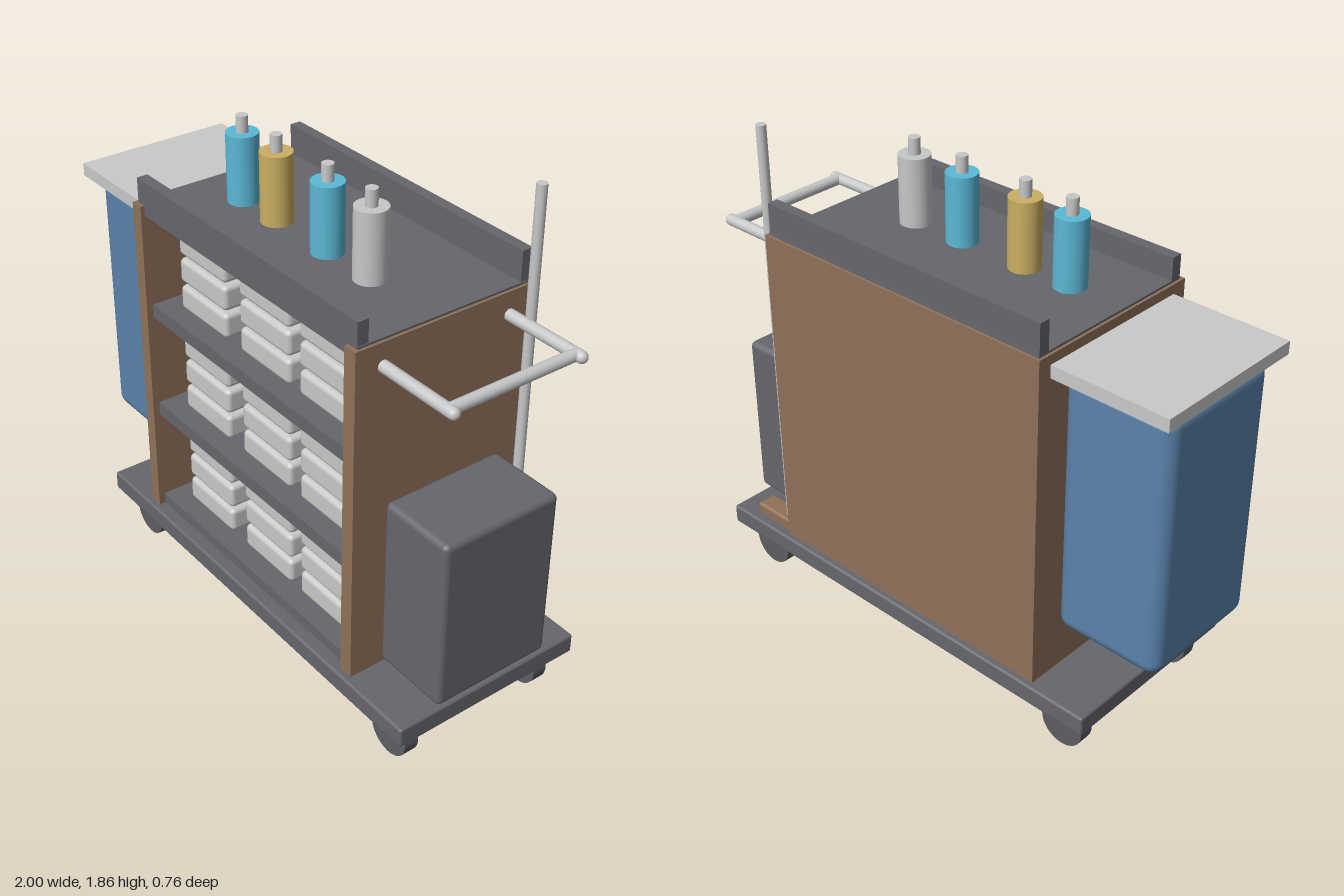
import * as THREE from 'three';
import { RoundedBoxGeometry } from 'three/addons/geometries/RoundedBoxGeometry.js';

const mat = (name, color) => {
  const m = new THREE.MeshStandardMaterial({ color });
  m.name = name;
  return m;
};

export function createModel() {
  const wood = mat('brown wood', 0x8f7159);
  const charcoal = mat('charcoal', 0x66676d);
  const rubber = mat('dark rubber', 0x5c5e62);
  const linen = mat('pale grey', 0xc8cac8);
  const steel = mat('light steel', 0xc6c8c9);
  const blue = mat('bag blue', 0x5a82ab);
  const cyan = mat('bottle cyan', 0x5bb9d6);
  const gold = mat('bottle gold', 0xcbaf62);

  const cart = new THREE.Group();
  cart.name = 'serviceCart';

  const add = (name, geo, material, x = 0, y = 0, z = 0) => {
    const m = new THREE.Mesh(geo, material);
    m.name = name;
    m.position.set(x, y, z);
    cart.add(m);
    return m;
  };
  // Box given by its limits; a radius rounds its edges
  const box = (name, material, [x0, x1], [y0, y1], [z0, z1], r = 0) => {
    const s = [x1 - x0, y1 - y0, z1 - z0];
    const geo = r ? new RoundedBoxGeometry(...s, 3, r) : new THREE.BoxGeometry(...s);
    return add(name, geo, material, (x0 + x1) / 2, (y0 + y1) / 2, (z0 + z1) / 2);
  };

  // Base and wheels
  box('base', charcoal, [-0.795, 0.955], [0.16, 0.235], [-0.38, 0.38], 0.01);
  for (const x of [-0.66, 0.82]) {
    for (const z of [-0.287, 0.287]) {
      add('wheel', new THREE.CylinderGeometry(0.086, 0.086, 0.056, 32), rubber, x, 0.086, z)
        .rotation.x = Math.PI / 2;
    }
  }

  // Cabinet
  box('sidePanelRight', wood, [-0.56, -0.51], [0.235, 1.487], [-0.355, 0.355]);
  box('sidePanelLeft', wood, [0.612, 0.665], [0.235, 1.487], [-0.355, 0.355]);
  box('backPanel', wood, [-0.51, 0.612], [0.235, 1.487], [-0.355, -0.325]);
  for (const [y0, y1] of [[0.235, 0.278], [0.638, 0.69], [1.048, 1.1]]) {
    box('shelf', charcoal, [-0.51, 0.612], [y0, y1], [-0.325, 0.33]);
  }

  // Top tray with its front and back rails
  box('topTray', charcoal, [-0.55, 0.655], [1.45, 1.495], [-0.345, 0.34]);
  box('frontRail', charcoal, [-0.55, 0.652], [1.49, 1.577], [0.297, 0.338]);
  box('backRail', charcoal, [-0.55, 0.652], [1.49, 1.604], [-0.343, -0.302]);

  // Folded linen, three stacks of three on each shelf
  const linenGeo = new RoundedBoxGeometry(0.278, 0.093, 0.42, 3, 0.018);
  for (const bottom of [0.338, 0.746, 1.156]) {
    for (const x of [-0.28, 0.079, 0.409]) {
      for (let i = 0; i < 3; i++) add('foldedLinen', linenGeo, linen, x, bottom + i * 0.106, 0.06);
    }
  }

  // Bottles on the tray
  const bottles = [[-0.333, cyan], [-0.14, gold], [0.135, cyan], [0.353, steel]];
  for (const [x, material] of bottles) {
    add('bottle', new THREE.CylinderGeometry(0.057, 0.057, 0.25, 24), material, x, 1.62, 0.053);
    add('bottleNeck', new THREE.CylinderGeometry(0.021, 0.021, 0.06, 16), steel, x, 1.775, 0.053);
  }

  // Hanging laundry bag under its lid
  box('laundryBag', blue, [-0.975, -0.563], [0.42, 1.403], [-0.25, 0.25], 0.05);
  box('bagLid', linen, [-1, -0.56], [1.405, 1.452], [-0.303, 0.298]);

  // Waste bin
  box('wasteBin', charcoal, [0.67, 0.965], [0.257, 0.904], [-0.232, 0.235], 0.022);

  // Push handle
  const rod = (name, length) => add(name, new THREE.CapsuleGeometry(0.021, length, 6, 16), steel);
  for (const z of [-0.25, 0.25]) {
    const arm = rod('handleArm', 0.37);
    arm.rotation.z = Math.PI / 2;
    arm.position.set(0.793, 1.405, z);
  }
  const grip = rod('handleGrip', 0.5);
  grip.rotation.x = Math.PI / 2;
  grip.position.set(0.957, 1.405, 0);

  // Broom standing at the back corner
  add('broomPole', new THREE.CylinderGeometry(0.018, 0.018, 1.6, 16), steel, 0.71, 1.055, -0.3);
  box('broomHead', wood, [0.56, 0.857], [0.14, 0.278], [-0.342, -0.262], 0.012);

  return cart;
}
